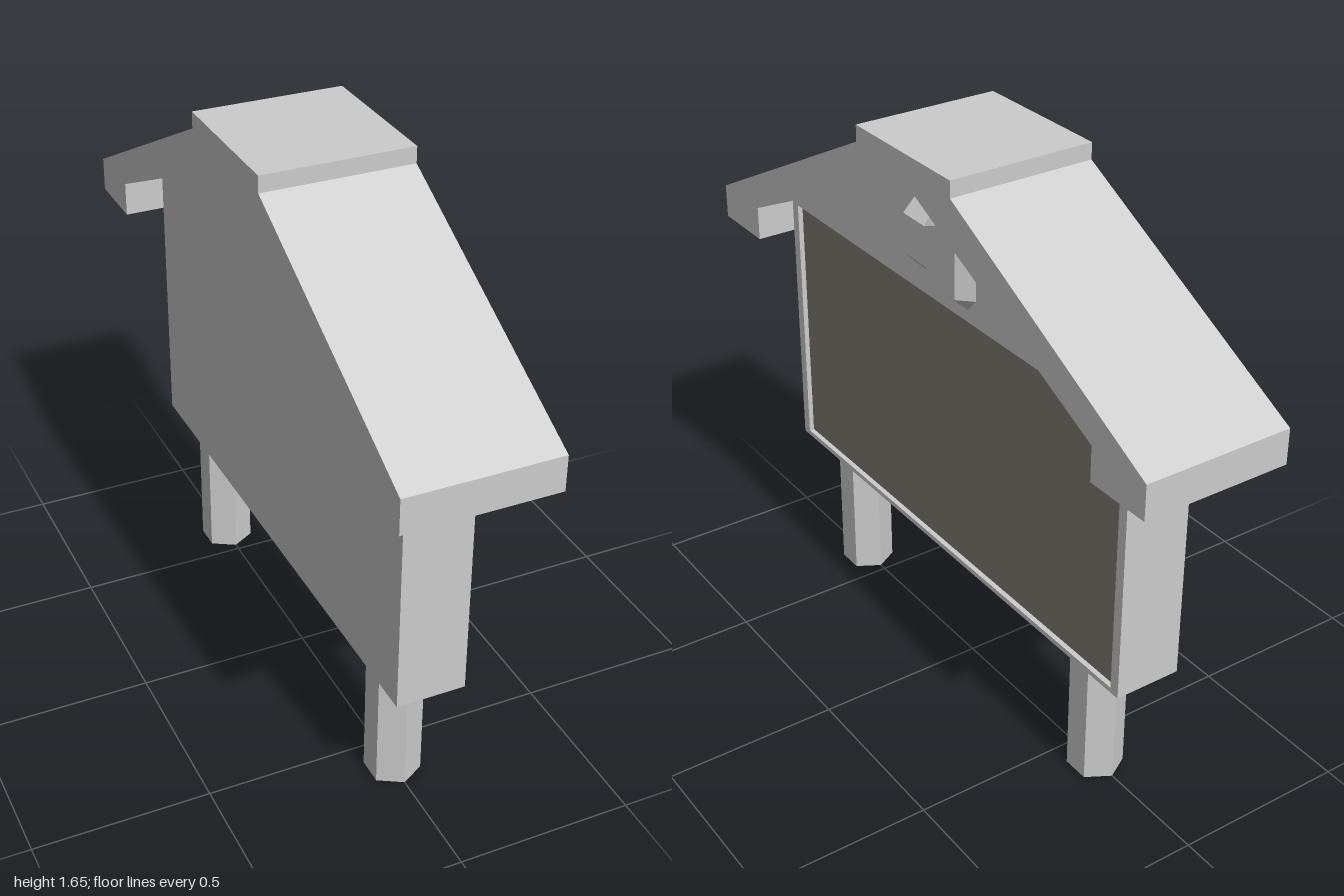
import * as THREE from 'three';

const grey = new THREE.MeshStandardMaterial({ color: 0xcccccc });
grey.name = 'lightGrey';
const panelGrey = new THREE.MeshStandardMaterial({ color: 0x7f7e75 });
panelGrey.name = 'panelGrey';

// Extrude a [z, y] outline along x, from x0 to x1
function slab(name, outline, x0, x1, hole) {
  const toPoints = (list) => list.map(([z, y]) => new THREE.Vector2(-z, y));
  const shape = new THREE.Shape(toPoints(outline));
  if (hole) shape.holes.push(new THREE.Path(toPoints(hole)));
  const geometry = new THREE.ExtrudeGeometry(shape, { depth: x1 - x0, bevelEnabled: false });
  geometry.rotateY(Math.PI / 2).translate(x0, 0, 0);
  const mesh = new THREE.Mesh(geometry, grey);
  mesh.name = name;
  return mesh;
}

// Bevelled plaque: outer loop on the wall, inner loop raised; both run over the top, then back below
function plaqueGeometry(x0, x1) {
  const outer = [[0.16, 1.42], [0.12, 1.46], [0.03, 1.46], [-0.085, 1.5], [-0.12, 1.5], [-0.16, 1.457],
    [-0.16, 1.265], [-0.12, 1.225], [-0.08, 1.225], [0.03, 1.263], [0.12, 1.263], [0.16, 1.305]];
  const inner = [[0.12, 1.42], [0.12, 1.42], [0.02, 1.42], [-0.08, 1.457], [-0.12, 1.457], [-0.12, 1.457],
    [-0.12, 1.265], [-0.12, 1.265], [-0.08, 1.265], [0.02, 1.305], [0.12, 1.305], [0.12, 1.305]];
  const n = outer.length;
  const low = outer.map(([z, y]) => [x0, y, z]);
  const high = inner.map(([z, y]) => [x1, y, z]);
  const positions = [];
  const quad = (a, b, c, d) => positions.push(...a, ...b, ...c, ...a, ...c, ...d);
  for (let i = 0; i < n; i++) {
    const j = (i + 1) % n;
    quad(high[i], high[j], low[j], low[i]);
  }
  for (let i = 0; i < n / 2 - 1; i++) quad(high[i], high[n - 1 - i], high[n - 2 - i], high[i + 1]);
  const geometry = new THREE.BufferGeometry();
  geometry.setAttribute('position', new THREE.Float32BufferAttribute(positions, 3));
  geometry.computeVertexNormals();
  return geometry;
}

export function createModel() {
  const group = new THREE.Group();
  group.name = 'noticeBoard';

  // Gabled body, with a shallow recess on the display side
  const gable = [[0.8, 0.4], [-0.8, 0.4], [-0.8, 1.2], [-0.03, 1.565], [0.03, 1.565], [0.8, 1.2]];
  const recess = [[0.77, 0.415], [-0.77, 0.415], [-0.77, 1.19], [0.77, 1.19]];
  group.add(slab('body', gable, -0.098, 0.08));
  group.add(slab('frame', gable, 0.08, 0.098, recess));

  // Dark display panel at the bottom of the recess
  const panel = new THREE.Mesh(new THREE.BoxGeometry(0.004, 0.775, 1.54), panelGrey);
  panel.name = 'displayPanel';
  panel.position.set(0.081, 0.8025, 0);
  group.add(panel);

  // Roof with a raised ridge cap and boxed eaves
  const roof = [[-1, 1.1], [-0.8, 1.1], [-0.8, 1.2], [-0.03, 1.565], [0.03, 1.565], [0.8, 1.2],
    [0.8, 1.1], [1, 1.1], [1, 1.2], [0.218, 1.603], [0.218, 1.65], [-0.218, 1.65], [-0.218, 1.603], [-1, 1.2]];
  group.add(slab('roof', roof, -0.215, 0.215));

  // Bevelled plaque in the gable
  const plaque = new THREE.Mesh(plaqueGeometry(0.098, 0.138), grey);
  plaque.name = 'gablePlaque';
  group.add(plaque);

  // Hexagonal legs
  const legGeometry = new THREE.CylinderGeometry(0.078, 0.078, 0.4, 6).toNonIndexed();
  legGeometry.computeVertexNormals();
  for (const side of [1, -1]) {
    const leg = new THREE.Mesh(legGeometry, grey);
    leg.name = side > 0 ? 'frontLeg' : 'backLeg';
    leg.position.set(0, 0.2, side * 0.6);
    group.add(leg);
  }
  return group;
}
